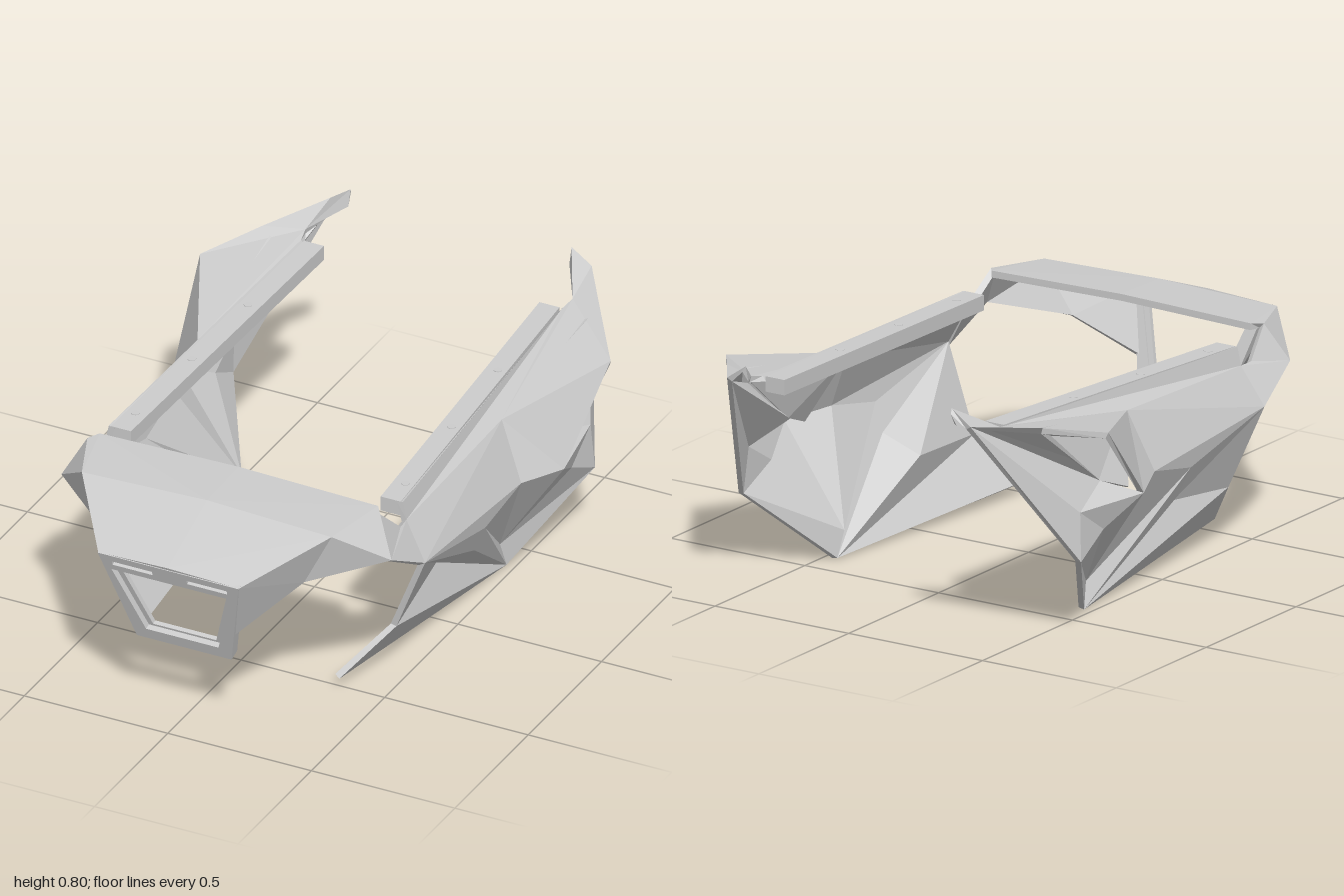
import * as THREE from 'three';

const grey = new THREE.MeshStandardMaterial({ color: 0xcccccc, flatShading: true, side: THREE.DoubleSide });
grey.name = 'light grey';

// Faceted sheet with thickness: named points, outward faces, closed rim. side = -1 mirrors it.
function shell(name, points, faces, thickness, side) {
  const keys = Object.keys(points);
  const outer = keys.map(k => new THREE.Vector3(...points[k]));
  const tris = [];
  for (const face of faces) {
    const ids = face.split(' ').map(k => keys.indexOf(k));
    for (let i = 1; i < ids.length - 1; i++) tris.push([ids[0], ids[i], ids[i + 1]]);
  }
  const normals = outer.map(() => new THREE.Vector3());
  const edges = new Set();
  for (const [a, b, c] of tris) {
    const n = outer[b].clone().sub(outer[a]).cross(outer[c].clone().sub(outer[a])).normalize();
    for (const i of [a, b, c]) normals[i].add(n);
    for (const [i, j] of [[a, b], [b, c], [c, a]]) edges.add(i + '_' + j);
  }
  const inner = outer.map((p, i) => {
    const q = p.clone().addScaledVector(normals[i].normalize(), -thickness);
    if (p.x === 0) q.x = 0;
    return q;
  });
  const pos = [];
  const add = (a, b, c) => {
    for (const p of side > 0 ? [a, b, c] : [a, c, b]) pos.push(p.x * side, p.y, p.z);
  };
  for (const [a, b, c] of tris) {
    add(outer[a], outer[b], outer[c]);
    add(inner[a], inner[c], inner[b]);
  }
  for (const e of edges) {
    const [i, j] = e.split('_').map(Number);
    if (edges.has(j + '_' + i)) continue;
    add(outer[j], outer[i], inner[i]);
    add(outer[j], inner[i], inner[j]);
  }
  const geo = new THREE.BufferGeometry();
  geo.setAttribute('position', new THREE.Float32BufferAttribute(pos, 3));
  geo.computeVertexNormals();
  const mesh = new THREE.Mesh(geo, grey);
  mesh.name = name;
  return mesh;
}

const sidePoints = {
  front: [0.6, 0.475, 0.42], wallFront: [0.525, 0.6, 0.4],
  railFront: [0.512, 0.66, 0.4], railBack: [0.455, 0.71, -0.8],
  wallBack: [0.53, 0.625, -0.24], wingRoot: [0.613, 0.433, -0.21],
  wingLow: [0.68, 0.417, -0.37], wingTip: [0.715, 0.685, -0.62],
  chinTop: [0.485, 0.2, 0.39], chinTip: [0.35, 0.04, 0.515],
  keel: [0.47, 0.005, -0.39], recess: [0.44, 0.228, 0.03], ridge: [0.557, 0.287, 0],
  spike: [0.6, 0.385, 0.01], fold: [0.46, 0.09, -0.365],
  ledge: [0.63, 0.33, -0.52], rearLow: [0.64, 0.26, -0.66], rearMid: [0.63, 0.417, -0.65],
  slot: [0.59, 0.47, -0.48], slotTop: [0.59, 0.725, -0.8],
  tail: [0.455, 0.757, -1], tailTip: [0.385, 0.806, -1],
  tailDrop: [0.385, 0.752, -0.985], tailInner: [0.465, 0.72, -0.85],
};
const sideFaces = [
  // upright wall, its strip up to the rail, and outer wing
  'front wingRoot wallBack wallFront', 'wallFront wallBack railBack railFront', 'wallBack tailInner railBack',
  'wallBack wingRoot wingLow', 'wallBack wingLow wingTip',
  // top of the wing and the tail
  'wallBack wingTip tailInner', 'wingTip slotTop tailInner', 'slotTop tail tailInner',
  'tailInner tail tailTip tailDrop',
  // lower front with its recess
  'chinTop chinTip keel', 'chinTop keel recess', 'front chinTop recess',
  'front recess ridge', 'recess keel ridge',
  // middle with the spike fold
  'front ridge spike', 'ridge keel spike', 'front spike wingRoot', 'spike keel fold', 'spike fold wingRoot',
  'wingRoot fold wingLow', 'wingLow fold ledge',
  // rear, behind the slot
  'fold keel rearLow', 'fold rearLow ledge', 'ledge rearLow rearMid', 'rearLow tail rearMid',
  'wingLow ledge rearMid', 'wingLow rearMid slot', 'slot rearMid tail', 'slot tail slotTop',
];

// Wall carried on behind the wing, seen through the slot
const slotPoints = {
  top: [0.52, 0.62, -0.25], low: [0.61, 0.42, -0.35], back: [0.585, 0.47, -0.48], end: [0.555, 0.715, -0.8],
};

const nosePoints = {
  lipMid: [0, 0.6, 1], lip: [0.245, 0.59, 0.995],
  browMid: [0, 0.703, 0.73], brow: [0.435, 0.69, 0.735],
  backMid: [0, 0.71, 0.515], back: [0.485, 0.7, 0.515], corner: [0.51, 0.695, 0.55],
  cheek: [0.575, 0.573, 0.6], jaw: [0.35, 0.515, 0.755], jawFront: [0.19, 0.365, 0.91],
  armLow: [0.6, 0.475, 0.42], armEnd: [0.525, 0.6, 0.4], armHigh: [0.53, 0.602, 0.45],
};
const noseFaces = [
  'lipMid lip brow browMid', 'browMid brow back backMid', 'brow corner back', 'brow cheek corner',
  'lip jawFront jaw', 'lip jaw brow', 'jaw cheek brow', 'cheek armLow armEnd armHigh corner',
];

// Sloping square rail with three screws
function rail(side) {
  const group = new THREE.Group();
  group.name = 'rail';
  const geo = new THREE.BoxGeometry(0.07, 0.05, 1.2);
  const p = geo.attributes.position;
  const shiftX = z => side * (0.44 + 0.05 * (z + 0.2));
  const shiftY = z => 0.66 - 0.042 * (z + 0.2);
  for (let i = 0; i < p.count; i++) {
    const z = p.getZ(i) - 0.2;
    p.setXYZ(i, p.getX(i) + shiftX(z), p.getY(i) + shiftY(z), z);
  }
  geo.computeVertexNormals();
  const bar = new THREE.Mesh(geo, grey);
  bar.name = 'railBar';
  group.add(bar);
  for (const z of [-0.4, -0.05, 0.3]) {
    const screw = new THREE.Mesh(new THREE.CylinderGeometry(0.014, 0.014, 0.008, 12), grey);
    screw.name = 'screw';
    screw.position.set(shiftX(z) + side * 0.005, shiftY(z) + 0.0225, z);
    group.add(screw);
  }
  return group;
}

const trapezoid = (Type, wTop, top, wLow, low) => new Type([
  [-wLow, low], [wLow, low], [wTop, top], [-wTop, top],
].map(([x, y]) => new THREE.Vector2(x, y)));

// Tilted frame around the front opening; heights run from its lower edge
function frontFrame() {
  const group = new THREE.Group();
  group.name = 'frontFrame';
  const layer = (name, shape, depth, z) => {
    const mesh = new THREE.Mesh(new THREE.ExtrudeGeometry(shape, { depth, bevelEnabled: false }), grey);
    mesh.name = name;
    mesh.position.z = z;
    group.add(mesh);
  };
  const rim = trapezoid(THREE.Shape, 0.245, 0.352, 0.165, 0);
  rim.holes.push(trapezoid(THREE.Path, 0.207, 0.29, 0.126, 0.042));
  for (const s of [-1, 1]) {
    rim.holes.push(new THREE.Path([[0.06, 0.312], [0.2, 0.312], [0.2, 0.327], [0.06, 0.327]]
      .map(([x, y]) => new THREE.Vector2(s * x, y))));
  }
  layer('outerRim', rim, 0.04, -0.04);
  const step = trapezoid(THREE.Shape, 0.212, 0.295, 0.13, 0.037);
  step.holes.push(trapezoid(THREE.Path, 0.182, 0.275, 0.11, 0.05));
  layer('innerRim', step, 0.015, -0.035);
  group.rotation.x = 0.32;
  group.position.set(0, 0.256, 0.888);
  return group;
}

export function createModel() {
  const model = new THREE.Group();
  model.name = 'frontFairing';
  for (const side of [1, -1]) {
    const label = side > 0 ? 'left' : 'right';
    model.add(shell(label + 'SidePanel', sidePoints, sideFaces, 0.02, side));
    model.add(shell(label + 'SlotWall', slotPoints, ['top low back end'], 0.01, side));
    model.add(shell(label + 'NoseHalf', nosePoints, noseFaces, 0.022, side));
    model.add(rail(side));
  }
  model.add(frontFrame());
  return model;
}
